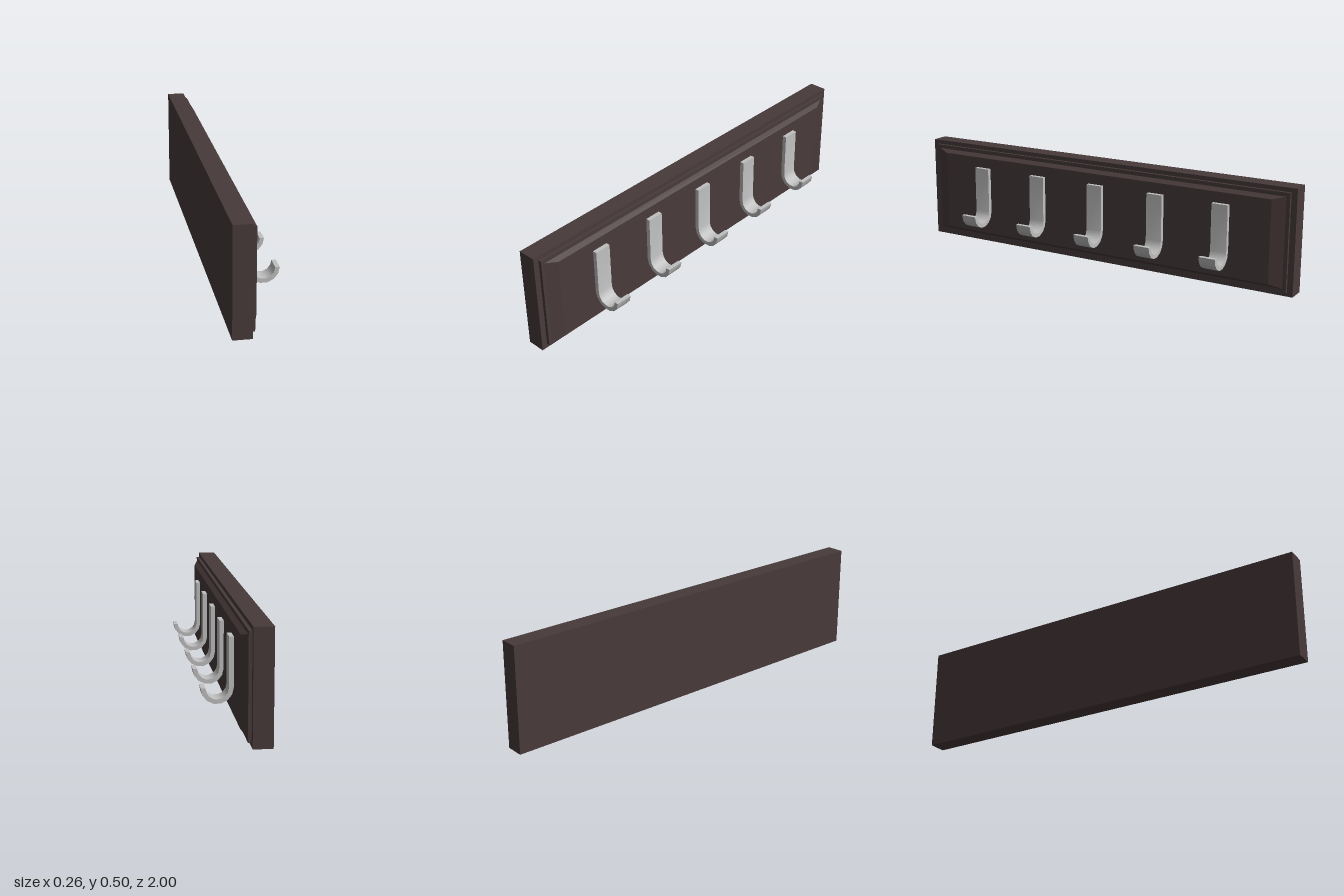
import * as THREE from 'three';
import { toCreasedNormals } from 'three/addons/utils/BufferGeometryUtils.js';

export function createModel() {
  const model = new THREE.Group();
  model.name = 'hookRack';
  const darkWood = new THREE.MeshStandardMaterial({ color: 0x483a3a });
  darkWood.name = 'darkWood';
  const brushedMetal = new THREE.MeshStandardMaterial({ color: 0xc0c0c0 });
  brushedMetal.name = 'brushedMetal';

  // Block from x0 to x1, centred on the board; inset* shrink its outer (+x) face
  function slab(name, x0, x1, height, length, insetY = 0, insetZ = 0) {
    const geo = new THREE.BoxGeometry(x1 - x0, height, length);
    const p = geo.attributes.position;
    for (let i = 0; i < p.count; i++) {
      if (p.getX(i) > 0) {
        p.setY(i, p.getY(i) - Math.sign(p.getY(i)) * insetY);
        p.setZ(i, p.getZ(i) - Math.sign(p.getZ(i)) * insetZ);
      }
    }
    geo.computeVertexNormals();
    const mesh = new THREE.Mesh(geo, darkWood);
    mesh.name = name;
    mesh.position.set((x0 + x1) / 2, 0.25, 0);
    model.add(mesh);
  }

  // Board with a stepped border and a bevelled raised panel
  slab('backBoard', -0.13, -0.045, 0.5, 2);
  slab('borderStep', -0.045, -0.03, 0.46, 1.945);
  slab('raisedPanel', -0.03, -0.01, 0.424, 1.91, 0.016, 0.06);

  // J-shaped strip: straight shank, then a half-circle bend
  const cx = 0.06, cy = 0.175, outer = 0.07, inner = 0.05, steps = 7, width = 0.08;
  const outline = [new THREE.Vector2(cx - outer, 0.395)];
  for (let i = 0; i <= steps; i++) {
    const a = Math.PI * (1 + i / steps);
    outline.push(new THREE.Vector2(cx + outer * Math.cos(a), cy + outer * Math.sin(a)));
  }
  for (let i = steps; i >= 0; i--) {
    const a = Math.PI * (1 + i / steps);
    outline.push(new THREE.Vector2(cx + inner * Math.cos(a), cy + inner * Math.sin(a)));
  }
  outline.push(new THREE.Vector2(cx - inner, 0.395));
  const extruded = new THREE.ExtrudeGeometry(new THREE.Shape(outline), { depth: width, bevelEnabled: false });
  extruded.translate(0, 0, -width / 2);
  const hookGeo = toCreasedNormals(extruded, 0.6);

  // Row of five hooks along the board
  [0.66, 0.33, 0, -0.325, -0.657].forEach((z, i) => {
    const hook = new THREE.Mesh(hookGeo, brushedMetal);
    hook.name = `hook${i + 1}`;
    hook.position.z = z;
    model.add(hook);
  });
  return model;
}
